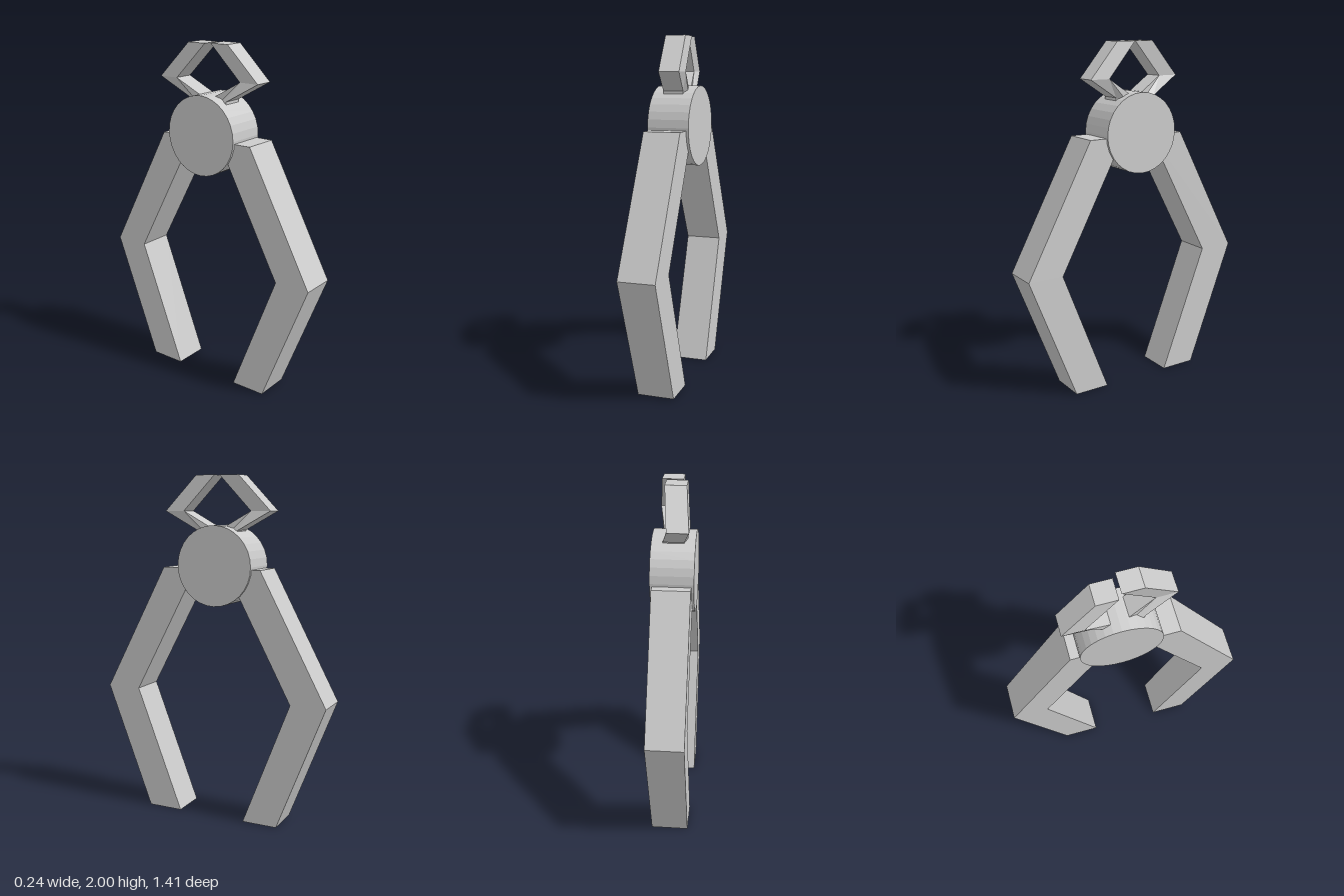
import * as THREE from 'three';

const material = new THREE.MeshStandardMaterial({ color: 0xcccccc, flatShading: true });

// Bent bar of constant width; each row is [y, outer z, inner z, x shift].
function bentBar(rows, width) {
  const outline = [
    ...rows.map(([y, outer]) => new THREE.Vector2(outer, y)),
    ...rows.map(([y, , inner]) => new THREE.Vector2(inner, y)).reverse(),
  ];
  const geometry = new THREE.ExtrudeGeometry(new THREE.Shape(outline), { depth: width, bevelEnabled: false });
  geometry.translate(0, 0, -width / 2).rotateY(-Math.PI / 2);
  // Slide each row sideways so the bar can twist off the centre plane.
  const p = geometry.attributes.position;
  for (let i = 0; i < p.count; i++) {
    const row = rows.find(([y]) => Math.abs(y - p.getY(i)) < 1e-4);
    p.setX(i, p.getX(i) + row[3]);
  }
  geometry.computeVertexNormals();
  return geometry;
}

// A front part and its half-turned copy at the back.
function addPair(group, name, geometry, pivotZ) {
  const front = new THREE.Mesh(geometry, material);
  front.name = 'front' + name;
  const back = new THREE.Mesh(geometry, material);
  back.name = 'back' + name;
  back.rotation.y = Math.PI;
  back.position.z = 2 * pivotZ;
  group.add(front, back);
}

export function createModel() {
  const group = new THREE.Group();
  group.name = 'pincerFigure';

  // Round hub lying across x
  const hub = new THREE.Mesh(new THREE.CylinderGeometry(0.229, 0.229, 0.24, 32).rotateZ(Math.PI / 2), material);
  hub.name = 'hub';
  hub.position.set(0, 1.492, -0.025);
  group.add(hub);

  // Long bent legs
  const leg = bentBar([
    [1.477, 0.305, 0.095, 0],
    [0.733, 0.703, 0.493, 0],
    [0, 0.418, 0.208, 0],
  ], 0.212);
  addPair(group, 'Leg', leg, 0);

  // Small twisted claws with a stub sunk into the hub
  const claw = bentBar([
    [2, 0.108, -0.008, 0.013],
    [1.8, 0.293, 0.175, 0.037],
    [1.692, 0.11, -0.006, 0],
    [1.62, 0.11, -0.006, 0],
  ], 0.117);
  addPair(group, 'Claw', claw, -0.0175);

  return group;
}
